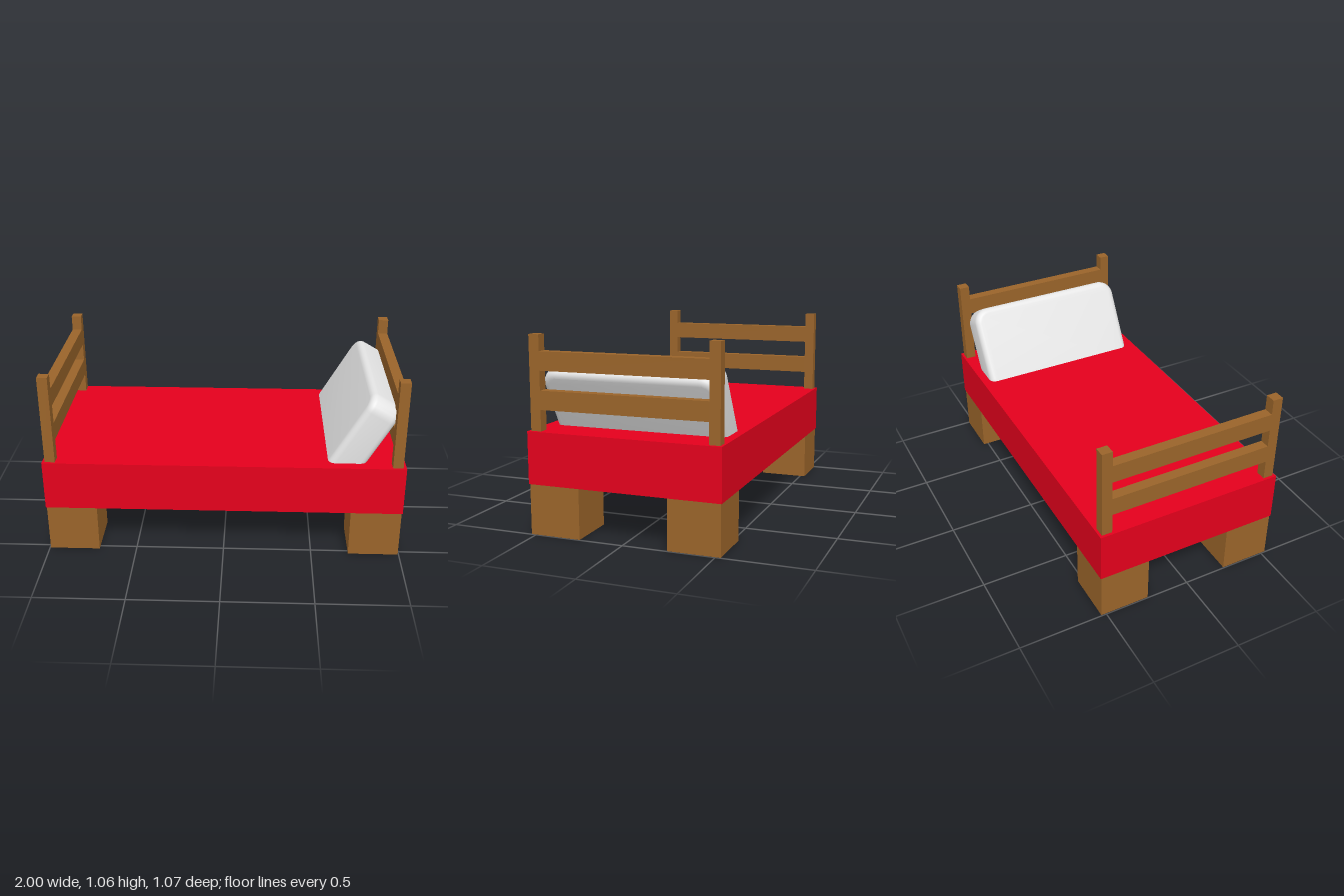
import * as THREE from 'three';
import { toCreasedNormals } from 'three/addons/utils/BufferGeometryUtils.js';

const material = (name, color) => {
  const m = new THREE.MeshStandardMaterial({ color });
  m.name = name;
  return m;
};

// Box given by its extents along each axis
function box(name, mat, [x0, x1], [y0, y1], [z0, z1]) {
  const mesh = new THREE.Mesh(new THREE.BoxGeometry(x1 - x0, y1 - y0, z1 - z0), mat);
  mesh.position.set((x0 + x1) / 2, (y0 + y1) / 2, (z0 + z1) / 2);
  mesh.name = name;
  return mesh;
}

// Rounded rectangle with softly bevelled edges, thickness along x
function pillowGeometry(width, height, thickness, corner, bevel) {
  const w = width / 2 - bevel, h = height / 2 - bevel, r = corner - bevel;
  const shape = new THREE.Shape();
  shape.absarc(w - r, h - r, r, 0, Math.PI / 2);
  shape.absarc(r - w, h - r, r, Math.PI / 2, Math.PI);
  shape.absarc(r - w, r - h, r, Math.PI, Math.PI * 1.5);
  shape.absarc(w - r, r - h, r, Math.PI * 1.5, Math.PI * 2);
  shape.closePath();
  const geometry = new THREE.ExtrudeGeometry(shape, {
    depth: thickness - 2 * bevel, bevelEnabled: true, bevelSize: bevel,
    bevelThickness: bevel, bevelSegments: 5, curveSegments: 6,
  });
  geometry.center();
  geometry.rotateY(Math.PI / 2);
  return toCreasedNormals(geometry, 0.7);
}

export function createModel() {
  const wood = material('wood', 0x9a642a);
  const red = material('red fabric', 0xe4001c);
  const grey = material('pillow fabric', 0xe5e5e5);
  const bed = new THREE.Group();
  bed.name = 'bed';

  bed.add(box('mattress', red, [-1, 1], [0.273, 0.555], [-0.533, 0.533]));

  // Chunky legs under each corner
  for (const [x0, x1] of [[-0.995, -0.712], [0.712, 0.995]]) {
    for (const [z0, z1] of [[-0.528, -0.245], [0.245, 0.528]]) {
      bed.add(box('leg', wood, [x0, x1], [0, 0.273], [z0, z1]));
    }
  }

  // Two posts and two rails at each end
  for (const [name, xs] of [['footboard', [-0.985, -0.928]], ['headboard', [0.925, 0.982]]]) {
    const board = new THREE.Group();
    board.name = name;
    for (const zs of [[-0.519, -0.461], [0.461, 0.519]]) {
      board.add(box('post', wood, xs, [0.555, 1.058], zs));
    }
    for (const ys of [[0.668, 0.769], [0.872, 0.972]]) {
      board.add(box('rail', wood, xs, ys, [-0.461, 0.461]));
    }
    bed.add(board);
  }

  // Pillow leaning on the headboard
  const pillow = new THREE.Mesh(pillowGeometry(0.96, 0.53, 0.185, 0.09, 0.035), grey);
  pillow.name = 'pillow';
  pillow.position.set(0.754, 0.676, -0.005);
  pillow.rotation.z = -Math.PI / 6;
  bed.add(pillow);

  return bed;
}
